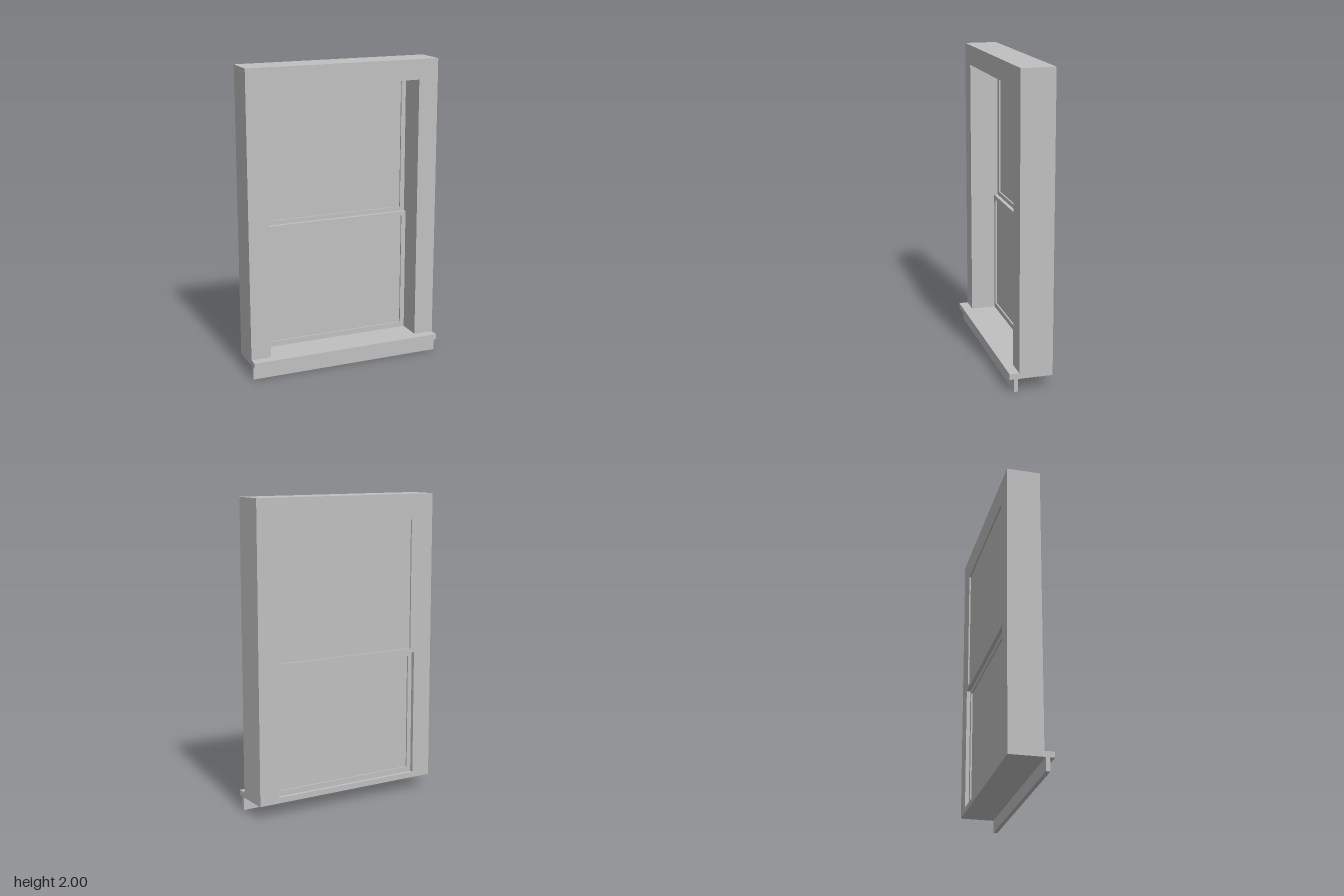
import * as THREE from 'three';

export function createModel() {
  const group = new THREE.Group();
  const paint = new THREE.MeshStandardMaterial({ color: 0xc0c0c0 });
  paint.name = 'grey paint';

  const HALF_W = 0.654, OPEN_W = 0.52, SILL_TOP = 0.121, HEAD = 1.868;
  const BACK = -0.139, FRONT = 0.077, NOSE = 0.139;

  const add = (name, geometry, parent = group) => {
    const mesh = new THREE.Mesh(geometry, paint);
    mesh.name = name;
    parent.add(mesh);
  };

  // Box given by its half width and its y and z limits
  const slab = (halfW, y0, y1, z0, z1) =>
    new THREE.BoxGeometry(halfW * 2, y1 - y0, z1 - z0)
      .translate(0, (y0 + y1) / 2, (z0 + z1) / 2);

  const rect = (halfW, y0, y1) => [
    [-halfW, y0], [halfW, y0], [halfW, y1], [-halfW, y1],
  ].map(([x, y]) => new THREE.Vector2(x, y));

  const extrude = (shape, z0, z1) =>
    new THREE.ExtrudeGeometry(shape, { depth: z1 - z0, bevelEnabled: false })
      .translate(0, 0, z0);

  // Casing: two jambs and a head in one piece, open at the sill
  const casing = new THREE.Shape([
    [-HALF_W, SILL_TOP], [-OPEN_W, SILL_TOP], [-OPEN_W, HEAD], [OPEN_W, HEAD],
    [OPEN_W, SILL_TOP], [HALF_W, SILL_TOP], [HALF_W, 2], [-HALF_W, 2],
  ].map(([x, y]) => new THREE.Vector2(x, y)));
  add('casing', extrude(casing, BACK, FRONT));

  // Sill board and the apron below it
  add('sill', slab(HALF_W, 0.084, SILL_TOP, BACK, NOSE));
  add('apron', slab(HALF_W, 0, 0.084, 0.084, 0.11));

  // Sliding sash: frame with a recessed pane
  const addSash = (name, y0, y1, paneY0, paneY1, z0, z1) => {
    const sash = new THREE.Group();
    sash.name = name;
    const outline = new THREE.Shape(rect(OPEN_W, y0, y1));
    outline.holes.push(new THREE.Path(rect(0.489, paneY0, paneY1).reverse()));
    add('sashFrame', extrude(outline, z0, z1), sash);
    const mid = (z0 + z1) / 2;
    add('pane', slab(0.489, paneY0, paneY1, mid - 0.002, mid + 0.002), sash);
    group.add(sash);
  };
  addSash('upperSash', 0.952, HEAD, 0.98, 1.834, BACK, -0.114);
  addSash('lowerSash', SILL_TOP, 0.952, 0.156, 0.924, -0.114, -0.089);

  return group;
}
